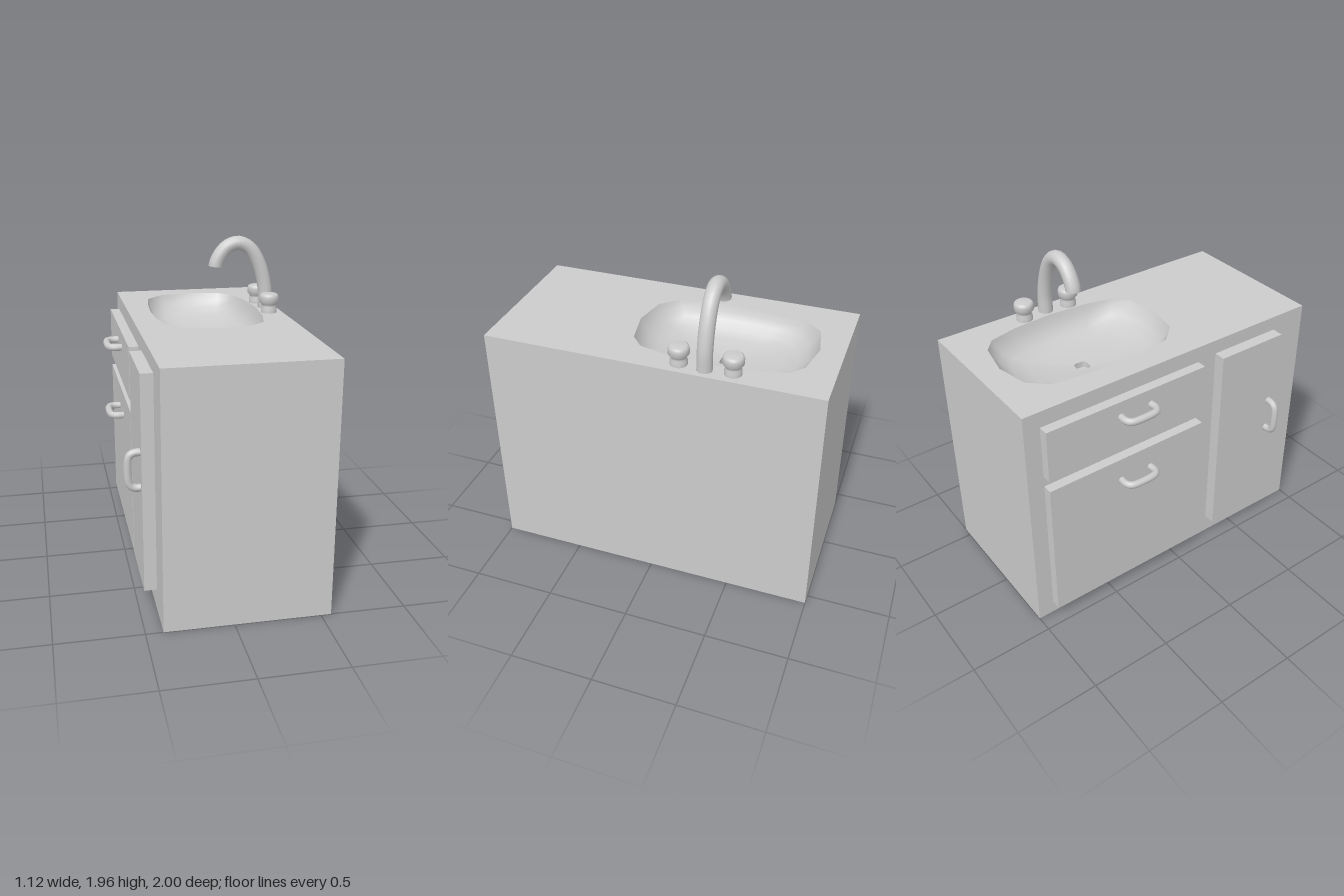
import * as THREE from 'three';

const material = new THREE.MeshStandardMaterial({ color: 0xcccccc, roughness: 0.7 });
const twoSided = new THREE.MeshStandardMaterial({ color: 0xcccccc, roughness: 0.7, side: THREE.DoubleSide });
const CABINET = { x0: -0.4, x1: 0.56, height: 1.5, length: 2 };
const SINK = { x: 0.08, z: -0.32 };

// Sink rim as [x, z], clockwise seen from above, starting at the -z end
const RIM = [
  [0.08, -0.86], [0.29, -0.82], [0.37, -0.75], [0.41, -0.58],
  [0.43, -0.32], [0.41, -0.06], [0.37, 0.11], [0.29, 0.18],
  [0.08, 0.22], [-0.12, 0.18], [-0.22, 0.07], [-0.25, -0.1],
  [-0.26, -0.32], [-0.245, -0.54], [-0.22, -0.71], [-0.12, -0.82],
];

function addMesh(parent, name, geometry, mat = material) {
  const mesh = new THREE.Mesh(geometry, mat);
  mesh.name = name;
  parent.add(mesh);
  return mesh;
}

// Joins closed rings of points, outer ring first, facing up and inward
function loft(rings) {
  const n = rings[0].length;
  const index = [];
  for (let r = 0; r < rings.length - 1; r++) {
    for (let i = 0; i < n; i++) {
      const j = (i + 1) % n;
      const a = r * n + i, b = r * n + j, c = a + n, d = b + n;
      index.push(a, c, b, b, c, d);
    }
  }
  const geometry = new THREE.BufferGeometry();
  geometry.setAttribute('position', new THREE.Float32BufferAttribute(rings.flat(2), 3));
  geometry.setIndex(index);
  geometry.computeVertexNormals();
  return geometry;
}

// Rounded square ring around the drain
function drainRing(size, y) {
  const soft = (v) => Math.sign(v) * Math.pow(Math.abs(v), 0.55);
  return RIM.map((_, i) => {
    const a = (i / RIM.length) * Math.PI * 2;
    return [SINK.x + size * soft(Math.sin(a)), y, SINK.z - size * soft(Math.cos(a))];
  });
}

function createCabinet() {
  const group = new THREE.Group();
  group.name = 'cabinet';
  const { x0, x1, height, length } = CABINET;

  // Box without its top face
  const box = new THREE.BoxGeometry(x1 - x0, height, length);
  const faces = Array.from(box.index.array);
  faces.splice(12, 6);
  box.setIndex(faces);
  box.clearGroups();
  box.translate((x0 + x1) / 2, height / 2, 0);
  addMesh(group, 'carcass', box);

  // Worktop with the sink opening
  const z = length / 2;
  const top = new THREE.Shape([[x0, -z], [x1, -z], [x1, z], [x0, z]].map((p) => new THREE.Vector2(...p)));
  top.holes.push(new THREE.Path(RIM.map((p) => new THREE.Vector2(p[0], -p[1]))));
  const worktop = new THREE.ShapeGeometry(top);
  worktop.rotateX(-Math.PI / 2);
  worktop.translate(0, height, 0);
  addMesh(group, 'worktop', worktop, twoSided);
  return group;
}

function createSink() {
  const group = new THREE.Group();
  group.name = 'sink';
  // Bowl: the rim shrinks towards the drain as it goes down
  const profile = [[1, 1.5], [0.96, 1.455], [0.89, 1.41], [0.78, 1.37], [0.6, 1.34], [0.35, 1.322]];
  const rings = profile.map(([s, y]) =>
    RIM.map(([x, z]) => [SINK.x + (x - SINK.x) * s, y, SINK.z + (z - SINK.z) * s]));
  rings.push(drainRing(0.042, 1.312));
  addMesh(group, 'bowl', loft(rings), twoSided);

  // Drain well and its floor
  addMesh(group, 'drainWall', loft([drainRing(0.042, 1.312), drainRing(0.04, 1.275)]), twoSided);
  addMesh(group, 'drainFloor', loft([drainRing(0.04, 1.275), drainRing(0.0005, 1.275)]), twoSided);
  return group;
}

function createFaucet() {
  const group = new THREE.Group();
  group.name = 'faucet';
  // Gooseneck spout
  const path = new THREE.CatmullRomCurve3([
    [0.49, 1.5], [0.487, 1.62], [0.45, 1.77], [0.395, 1.87], [0.345, 1.91], [0.3, 1.92],
    [0.235, 1.897], [0.185, 1.84], [0.161, 1.785], [0.16, 1.775],
  ].map(([x, y]) => new THREE.Vector3(x, y, -0.31)));
  addMesh(group, 'spout', new THREE.TubeGeometry(path, 28, 0.045, 14), twoSided);
  const outlet = addMesh(group, 'spoutOutlet', new THREE.CircleGeometry(0.045, 14), twoSided);
  outlet.position.copy(path.getPoint(1));
  outlet.lookAt(path.getPoint(1).add(path.getTangent(1)));

  // Pair of turned taps
  const profile = [
    [0.05, 0], [0.05, 0.025], [0.044, 0.04], [0.046, 0.053], [0.06, 0.068],
    [0.061, 0.098], [0.056, 0.113], [0.045, 0.12], [0, 0.121],
  ].map((p) => new THREE.Vector2(...p));
  for (const side of [-1, 1]) {
    const tap = addMesh(group, 'tap', new THREE.LatheGeometry(profile, 20));
    tap.position.set(0.475, CABINET.height, -0.312 + side * 0.155);
  }
  return group;
}

// Bow handle running along z, mounted on a panel face at x = 0
function handleGeometry() {
  const path = new THREE.CatmullRomCurve3([
    [0.01, -0.103], [-0.045, -0.103], [-0.071, -0.085], [-0.082, 0],
    [-0.071, 0.085], [-0.045, 0.103], [0.01, 0.103],
  ].map(([x, z]) => new THREE.Vector3(x, 0, z)), false, 'centripetal');
  return new THREE.TubeGeometry(path, 28, 0.022, 10);
}

// Raised panel on the -x face with its handle
function createPanel({ name, z0, z1, y0, y1, depth, handleY, handleZ, upright }) {
  const group = new THREE.Group();
  group.name = name;
  const panel = addMesh(group, name + 'Panel', new THREE.BoxGeometry(depth, y1 - y0, z1 - z0));
  panel.position.set(CABINET.x0 - depth / 2, (y0 + y1) / 2, (z0 + z1) / 2);
  const handle = addMesh(group, name + 'Handle', handleGeometry());
  handle.position.set(-0.461, handleY, handleZ);
  if (upright) handle.rotation.x = Math.PI / 2;
  return group;
}

export function createModel() {
  const model = new THREE.Group();
  model.name = 'sinkCabinet';
  model.add(createCabinet(), createSink(), createFaucet());
  const panels = [
    { name: 'drawer', z0: -0.9, z1: 0.17, y0: 1.07, y1: 1.4, depth: 0.06, handleY: 1.3, handleZ: -0.32 },
    { name: 'wideDoor', z0: -0.9, z1: 0.17, y0: 0.08, y1: 1.0, depth: 0.06, handleY: 0.85, handleZ: -0.32 },
    { name: 'tallDoor', z0: 0.3, z1: 0.765, y0: 0.13, y1: 1.41, depth: 0.072, handleY: 0.845, handleZ: 0.705, upright: true },
  ];
  for (const panel of panels) model.add(createPanel(panel));
  return model;
}
